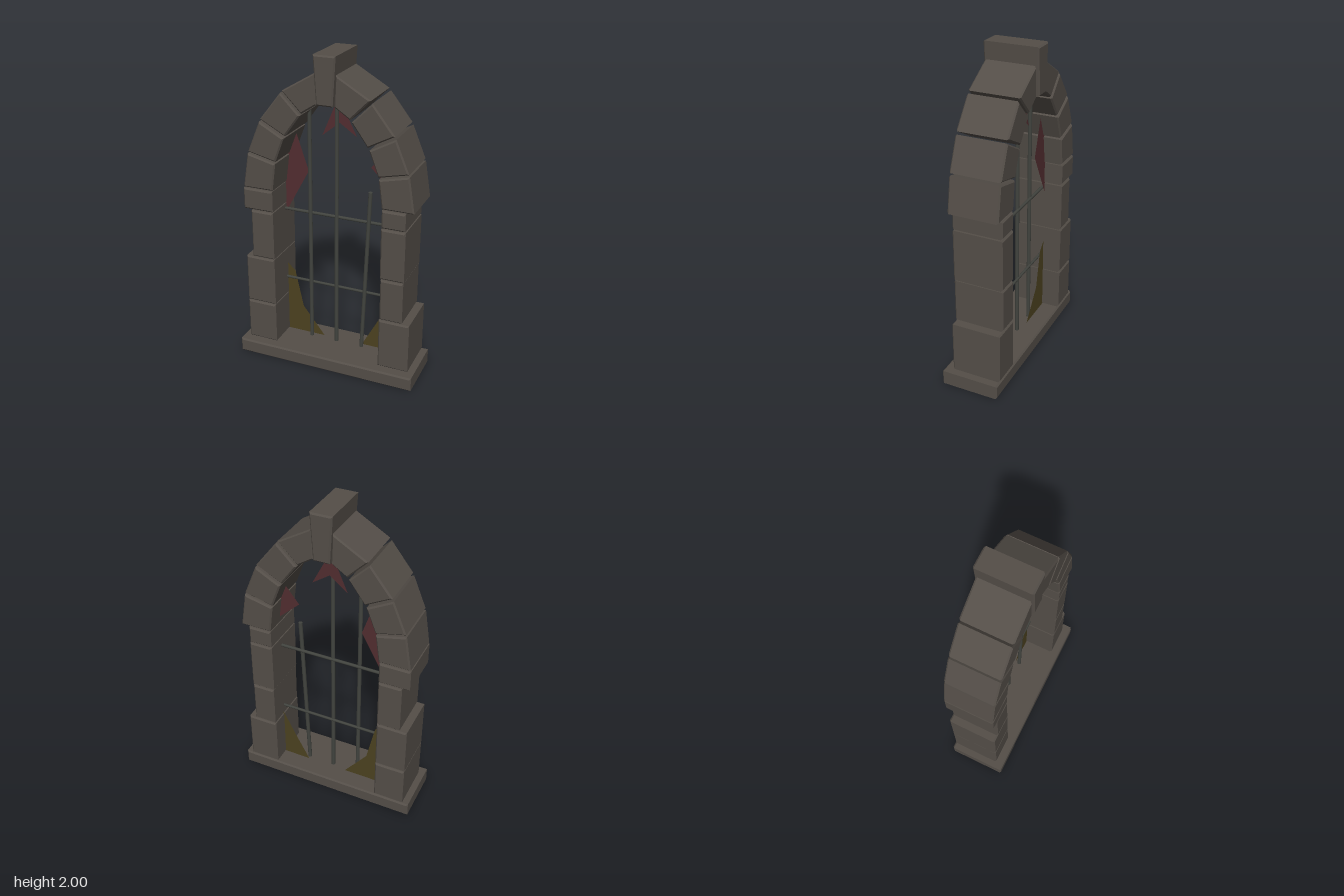
import * as THREE from 'three';

const stone = new THREE.MeshStandardMaterial({ name: 'stone', color: 0x544e48 });
const iron = new THREE.MeshStandardMaterial({ name: 'iron', color: 0x42443f });
const redGlass = new THREE.MeshStandardMaterial({ name: 'redGlass', color: 0x522d30, side: THREE.DoubleSide });
const amberGlass = new THREE.MeshStandardMaterial({ name: 'amberGlass', color: 0x4c4220, side: THREE.DoubleSide });

const outline = (pts) => new THREE.Shape(pts.map(([x, y]) => new THREE.Vector2(x, y)));

// Chamfered stone with a polygon front, running from zBack to zFront
function block(name, pts, zBack = -0.177, zFront = 0.137, bevel = 0.009) {
  const geo = new THREE.ExtrudeGeometry(outline(pts), {
    depth: zFront - zBack - 2 * bevel, bevelEnabled: true, bevelSegments: 1,
    bevelSize: bevel, bevelThickness: bevel, bevelOffset: -bevel,
  });
  geo.translate(0, 0, zBack + bevel);
  const mesh = new THREE.Mesh(geo, stone);
  mesh.name = name;
  return mesh;
}

const rect = (x0, x1, y0, y1) => [[x0, y0], [x1, y0], [x1, y1], [x0, y1]];

// Round bar between two points
function bar(name, x0, y0, x1, y1, z, radius) {
  const d = new THREE.Vector2(x1 - x0, y1 - y0);
  const mesh = new THREE.Mesh(new THREE.CylinderGeometry(radius, radius, d.length(), 8), iron);
  mesh.position.set((x0 + x1) / 2, (y0 + y1) / 2, z);
  mesh.rotation.z = Math.atan2(d.y, d.x) - Math.PI / 2;
  mesh.name = name;
  return mesh;
}

// Broken flat pane
function shard(name, pts, material) {
  const mesh = new THREE.Mesh(new THREE.ShapeGeometry(outline(pts)), material);
  mesh.position.z = -0.06;
  mesh.name = name;
  return mesh;
}

export function createModel() {
  const model = new THREE.Group();
  model.name = 'ruinedArchWindow';

  model.add(block('sill', rect(-0.585, 0.582, 0, 0.09), -0.177, 0.19));

  // Uneven side columns: inner x, outer x, bottom, top
  const columns = {
    rightColumn: [[-0.352, -0.545, 0.095, 0.362], [-0.352, -0.545, 0.368, 0.682],
      [-0.352, -0.498, 0.688, 1.0], [-0.352, -0.545, 1.008, 1.142]],
    leftColumn: [[0.346, 0.54, 0.095, 0.42], [0.35, 0.493, 0.427, 0.695],
      [0.346, 0.496, 0.702, 1.025], [0.348, 0.493, 1.032, 1.142]],
  };
  for (const [name, stones] of Object.entries(columns)) {
    const group = new THREE.Group();
    group.name = name;
    stones.forEach(([xi, xo, y0, y1]) =>
      group.add(block('columnStone', rect(Math.min(xi, xo), Math.max(xi, xo), y0, y1))));
    model.add(group);
  }

  // Arch stones, mirrored about the keystone
  const archStones = [
    [[0.542, 1.15], [0.348, 1.15], [0.325, 1.325], [0.507, 1.368]],
    [[0.503, 1.38], [0.323, 1.338], [0.265, 1.49], [0.422, 1.575]],
    [[0.415, 1.59], [0.256, 1.505], [0.158, 1.64], [0.28, 1.762]],
    [[0.27, 1.775], [0.15, 1.652], [0.054, 1.715], [0.064, 1.895]],
  ];
  const arch = new THREE.Group();
  arch.name = 'arch';
  for (const side of [-1, 1]) {
    archStones.forEach((pts) => arch.add(block('archStone', pts.map(([x, y]) => [side * x, y]))));
  }
  arch.add(block('keystone', [[-0.07, 2], [0.066, 2], [0.048, 1.715], [-0.052, 1.715]], -0.19, 0.147));
  model.add(arch);

  // Iron grille, with one bent and broken bar
  const grille = new THREE.Group();
  grille.name = 'grille';
  grille.add(
    bar('centreBar', 0, 0.08, 0, 1.74, -0.035, 0.013),
    bar('sideBar', -0.175, 0.08, -0.175, 1.64, -0.035, 0.013),
    bar('brokenBar', 0.173, 0.08, 0.217, 1.17, -0.035, 0.013),
    bar('upperCrossBar', -0.37, 0.97, 0.37, 0.97, -0.045, 0.01),
    bar('lowerCrossBar', -0.37, 0.487, 0.37, 0.487, -0.045, 0.009),
  );
  model.add(grille);

  // Remaining glass fragments
  const glass = new THREE.Group();
  glass.name = 'glassShards';
  glass.add(
    shard('redSideShard', [[-0.275, 1.47], [-0.195, 1.235], [-0.36, 0.93], [-0.36, 1.3]], redGlass),
    shard('redTopShard', [[0, 1.72], [0.118, 1.49], [0.008, 1.565], [-0.104, 1.475]], redGlass),
    shard('redSmallShard', [[0.208, 1.315], [0.295, 1.425], [0.36, 1.32], [0.35, 1.185]], redGlass),
    shard('amberLargeShard', [[-0.36, 0.585], [-0.3, 0.53], [-0.245, 0.28], [-0.095, 0.088], [-0.36, 0.088]], amberGlass),
    shard('amberSmallShard', [[0.36, 0.46], [0.26, 0.26], [0.168, 0.088], [0.36, 0.088]], amberGlass),
  );
  model.add(glass);

  return model;
}
